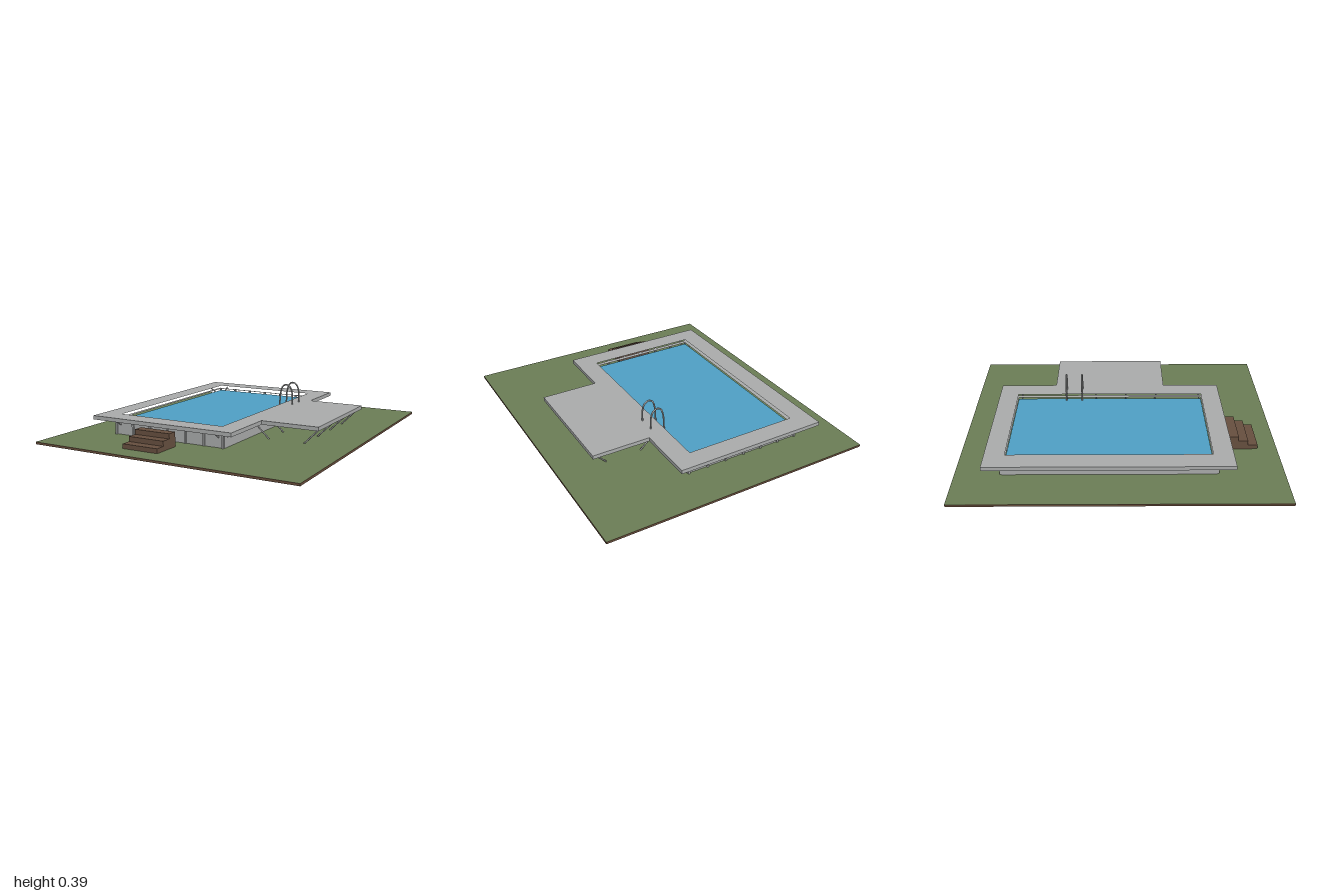
import * as THREE from 'three';

const mat = (name, color, side = THREE.FrontSide) => {
  const m = new THREE.MeshStandardMaterial({ color, side });
  m.name = name;
  return m;
};

// Floor-plan shape from [x, z] corners, with optional hole
const plan = (pts, hole) => {
  const toV = (p) => p.map(([x, z]) => new THREE.Vector2(x, -z));
  const s = new THREE.Shape(toV(pts));
  if (hole) s.holes.push(new THREE.Path(toV(hole)));
  return s;
};
const rect = (x0, x1, z0, z1) => [[x0, z0], [x1, z0], [x1, z1], [x0, z1]];

export function createModel() {
  const root = new THREE.Group();
  root.name = 'raisedPool';
  const concrete = mat('concrete', 0xa9abab);
  const grass = mat('grass', 0x6b7d55);
  const soil = mat('soil', 0x664c3a);
  const wood = mat('wood', 0x664f3f);
  const water = mat('water', 0x4f9fc4, THREE.DoubleSide);
  const floorBlue = mat('pool floor blue', 0x2c659c, THREE.DoubleSide);
  const metal = mat('metal', 0xa2a4a4);

  const add = (name, geo, material, parent = root) => {
    const m = new THREE.Mesh(geo, material);
    m.name = name;
    parent.add(m);
    return m;
  };
  const slab = (name, shape, y0, y1, material) =>
    add(name, new THREE.ExtrudeGeometry(shape, { depth: y1 - y0, bevelEnabled: false })
      .rotateX(-Math.PI / 2).translate(0, y0, 0), material);
  const sheet = (name, shape, y, material) =>
    add(name, new THREE.ShapeGeometry(shape).rotateX(-Math.PI / 2).translate(0, y, 0), material);
  const group = (name) => {
    const g = new THREE.Group();
    g.name = name;
    root.add(g);
    return g;
  };
  // Round bar between two points
  const bar = (name, a, b, r, parent) => {
    const p = new THREE.Vector3(...a), q = new THREE.Vector3(...b);
    const m = add(name, new THREE.CylinderGeometry(r, r, p.distanceTo(q), 8), metal, parent);
    m.position.copy(p).add(q).multiplyScalar(0.5);
    m.quaternion.setFromUnitVectors(new THREE.Vector3(0, 1, 0), q.sub(p).normalize());
  };

  const basin = rect(-0.56, 0.18, -0.69, 0.56);

  // Ground with the basin cut out
  const ground = plan(rect(-0.88, 0.88, -1, 1), basin);
  slab('ground', ground, 0.115, 0.129, soil);
  sheet('lawn', ground, 0.13, grass);

  // Pool shell, water and floor
  slab('poolWall', plan(rect(-0.59, 0.21, -0.715, 0.59), basin), 0.129, 0.23, concrete);
  sheet('waterSurface', plan(basin), 0.22, water);
  sheet('poolFloor', plan(basin), 0, floorBlue);

  // Deck rim with side platform
  slab('deck', plan([[-0.69, -0.815], [0.31, -0.815], [0.31, -0.44], [0.685, -0.44],
    [0.685, 0.31], [0.31, 0.31], [0.31, 0.685], [-0.69, 0.685]], basin), 0.23, 0.255, concrete);

  // Upright ribs on the front and back walls
  const ribs = group('wallRibs');
  for (const z of [-0.718, 0.593])
    for (let i = 0; i < 7; i++)
      add('rib', new THREE.BoxGeometry(0.012, 0.1, 0.014), concrete, ribs)
        .position.set(-0.58 + i * 0.13, 0.18, z);

  // Short corner braces under the rim
  const braces = group('cornerBraces');
  for (const z of [-0.672, 0.552]) {
    bar('brace', [-0.585, 0.192, z], [-0.645, 0.232, z], 0.005, braces);
    bar('brace', [0.205, 0.192, z], [0.265, 0.232, z], 0.005, braces);
  }
  for (const x of [-0.55, 0.17]) {
    bar('brace', [x, 0.192, 0.585], [x, 0.232, 0.645], 0.005, braces);
    bar('brace', [x, 0.192, -0.71], [x, 0.232, -0.77], 0.005, braces);
  }

  // Slanted struts carrying the side platform
  const struts = group('platformStruts');
  for (const z of [-0.37, -0.162, 0.046, 0.254]) {
    bar('innerStrut', [0.335, 0.13, z], [0.225, 0.232, z], 0.005, struts);
    bar('outerStrut', [0.57, 0.13, z], [0.672, 0.232, z], 0.005, struts);
  }

  // Wooden entry steps
  const steps = group('entrySteps');
  for (let i = 0; i < 3; i++) {
    const h = 0.092 - i * 0.031;
    add('step', new THREE.BoxGeometry(0.247, h, 0.062), wood, steps)
      .position.set(-0.191, 0.129 + h / 2, 0.721 + i * 0.062);
  }

  // Pool ladder: two bent rails and rungs
  const ladder = group('ladder');
  for (const z of [-0.36, -0.254]) {
    const pts = [[0.178, 0.03], [0.166, 0.036], [0.161, 0.06], [0.16, 0.14], [0.162, 0.25],
      [0.168, 0.33], [0.185, 0.375], [0.212, 0.387], [0.238, 0.372], [0.253, 0.335], [0.255, 0.25]];
    const path = new THREE.CatmullRomCurve3(pts.map(([x, y]) => new THREE.Vector3(x, y, z)));
    add('rail', new THREE.TubeGeometry(path, 48, 0.0055, 8), metal, ladder);
  }
  for (const y of [0.088, 0.145, 0.2])
    bar('rung', [0.161, y, -0.36], [0.161, y, -0.254], 0.005, ladder);

  return root;
}
